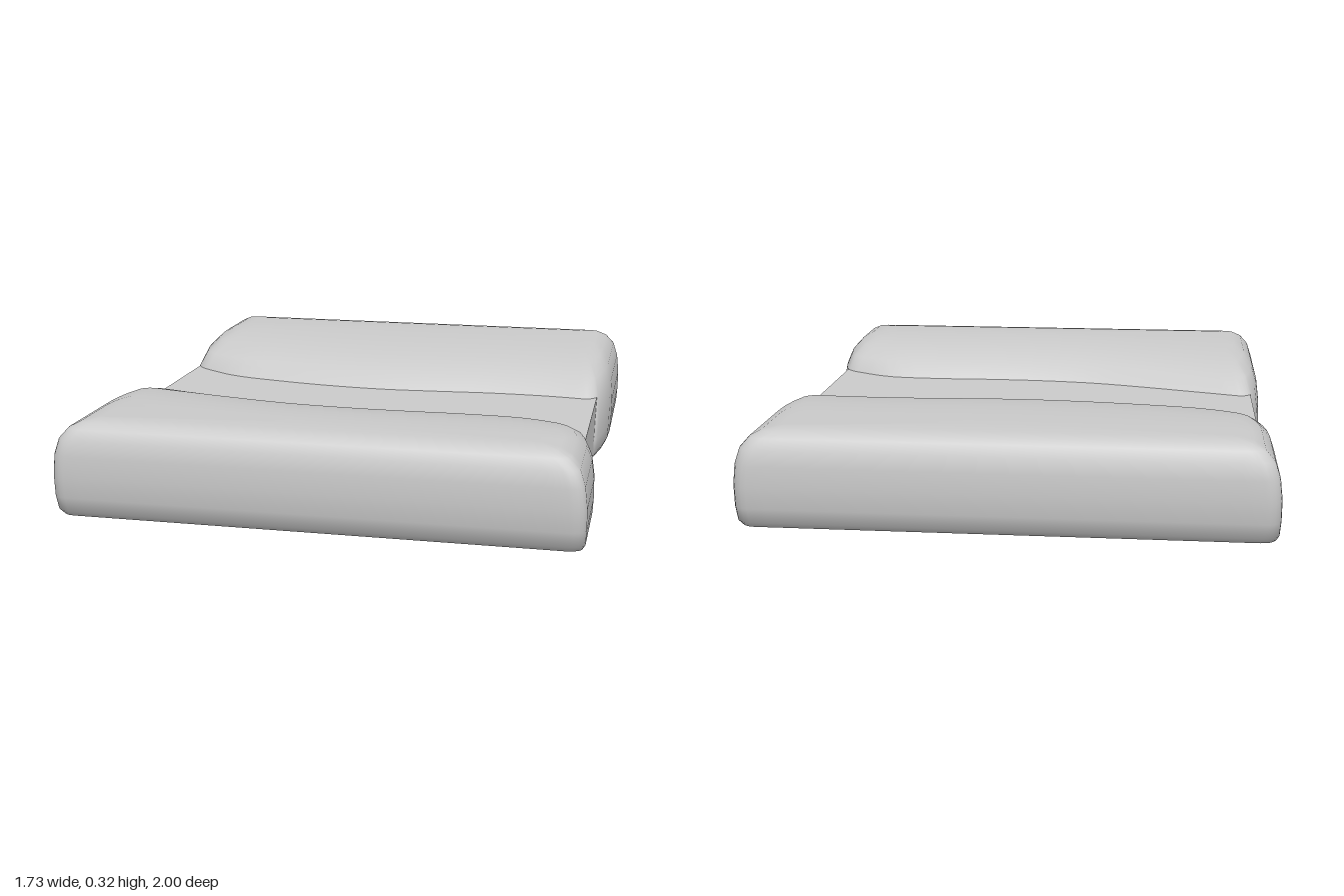
import * as THREE from 'three';
import { toCreasedNormals } from 'three/addons/utils/BufferGeometryUtils.js';

const material = new THREE.MeshStandardMaterial({ color: 0xcccccc });

// Shoreline z at evenly spaced x from -0.84 to 0.84
const BACK_SHORE = [-0.35, -0.23, -0.175, -0.14, -0.125, -0.135, -0.15, -0.147, -0.125];
const FRONT_SHORE = [0.13, 0.19, 0.255, 0.31, 0.335, 0.34, 0.335, 0.355, 0.46];

// Bank layers: height, side inset, outer edge inset, reach towards the shoreline
const LEVELS = [
  [0, 0.012, 0.04, 1.1],
  [0.02, 0.003, 0.02, 1.11],
  [0.07, 0, 0.005, 1.1],
  [0.14, 0, 0, 1.06],
  [0.21, 0.008, 0, 1],
  [0.262, 0.025, 0.008, 0.89],
  [0.296, 0.055, 0.025, 0.73],
  [0.313, 0.09, 0.05, 0.5],
  [0.32, 0.14, 0.1, 0.3],
];

// Rounded plan outline: a runs across (-1..1), b from outer edge (0) to shore (1)
function planOutline() {
  const points = [];
  const corners = [[1, 0, 0.06, 0.06, -90], [1, 1, 0.05, 0.06, 0], [-1, 1, 0.05, 0.06, 90], [-1, 0, 0.06, 0.06, 180]];
  const steps = [8, 28, 8, 28];
  corners.forEach(([a, b, ra, rb, start], c) => {
    const ca = a - Math.sign(a) * ra, cb = b ? 1 - rb : rb;
    for (let i = 0; i <= 5; i++) {
      const t = THREE.MathUtils.degToRad(start + i * 18);
      points.push([ca + ra * Math.cos(t), cb + rb * Math.sin(t)]);
    }
    // straight run to the start of the next corner
    const [na, nb, nra, nrb, ns] = corners[(c + 1) % 4];
    const t = THREE.MathUtils.degToRad(ns);
    const end = [na - Math.sign(na) * nra + nra * Math.cos(t), (nb ? 1 - nrb : nrb) + nrb * Math.sin(t)];
    const from = points[points.length - 1];
    for (let i = 1; i < steps[c]; i++) {
      const k = i / steps[c];
      points.push([from[0] + (end[0] - from[0]) * k, from[1] + (end[1] - from[1]) * k]);
    }
  });
  return points;
}

// Bank: stacked outlines that swell outwards and slope down to a winding shore
function bankGeometry(shoreZ, side) {
  const outline = planOutline();
  const n = outline.length;
  const shore = new THREE.SplineCurve(shoreZ.map((z, i) => new THREE.Vector2(-0.84 + i * 0.21, z)));
  const positions = [], index = [];
  const tri = (a, b, c) => (side < 0 ? index.push(a, b, c) : index.push(a, c, b));

  for (const [y, sideInset, edgeInset, reach] of LEVELS) {
    const outer = side * (1 - edgeInset);
    for (const [a, b] of outline) {
      const taper = 0.045 * Math.max(0, (b - 0.6) / 0.4) ** 2;
      const x = a * (0.863 - sideInset - taper);
      const z = shore.getPoint(THREE.MathUtils.clamp((x + 0.84) / 1.68, 0, 1)).y;
      positions.push(x, y, outer + (z - outer) * reach * b);
    }
  }
  for (let l = 0; l < LEVELS.length - 1; l++) {
    for (let i = 0; i < n; i++) {
      const j = (i + 1) % n, p = l * n, q = p + n;
      tri(p + i, q + i, p + j);
      tri(p + j, q + i, q + j);
    }
  }
  // flat underside and top
  for (const level of [0, LEVELS.length - 1]) {
    const base = level * n, centre = positions.length / 3;
    let z = 0;
    for (let i = 0; i < n; i++) z += positions[(base + i) * 3 + 2] / n;
    positions.push(0, LEVELS[level][0], z);
    for (let i = 0; i < n; i++) {
      const j = (i + 1) % n;
      if (level) tri(centre, base + j, base + i);
      else tri(centre, base + i, base + j);
    }
  }
  const geometry = new THREE.BufferGeometry();
  geometry.setAttribute('position', new THREE.Float32BufferAttribute(positions, 3));
  geometry.setIndex(index);
  return toCreasedNormals(geometry, 0.7);
}

export function createModel() {
  const group = new THREE.Group();
  group.name = 'riverTile';
  const add = (name, geometry) => {
    const mesh = new THREE.Mesh(geometry, material);
    mesh.name = name;
    group.add(mesh);
    return mesh;
  };

  add('backBank', bankGeometry(BACK_SHORE, -1));
  add('frontBank', bankGeometry(FRONT_SHORE, 1));

  // River slab between the banks
  add('water', new THREE.BoxGeometry(1.636, 0.19, 1.2)).position.y = 0.115;

  return group;
}
